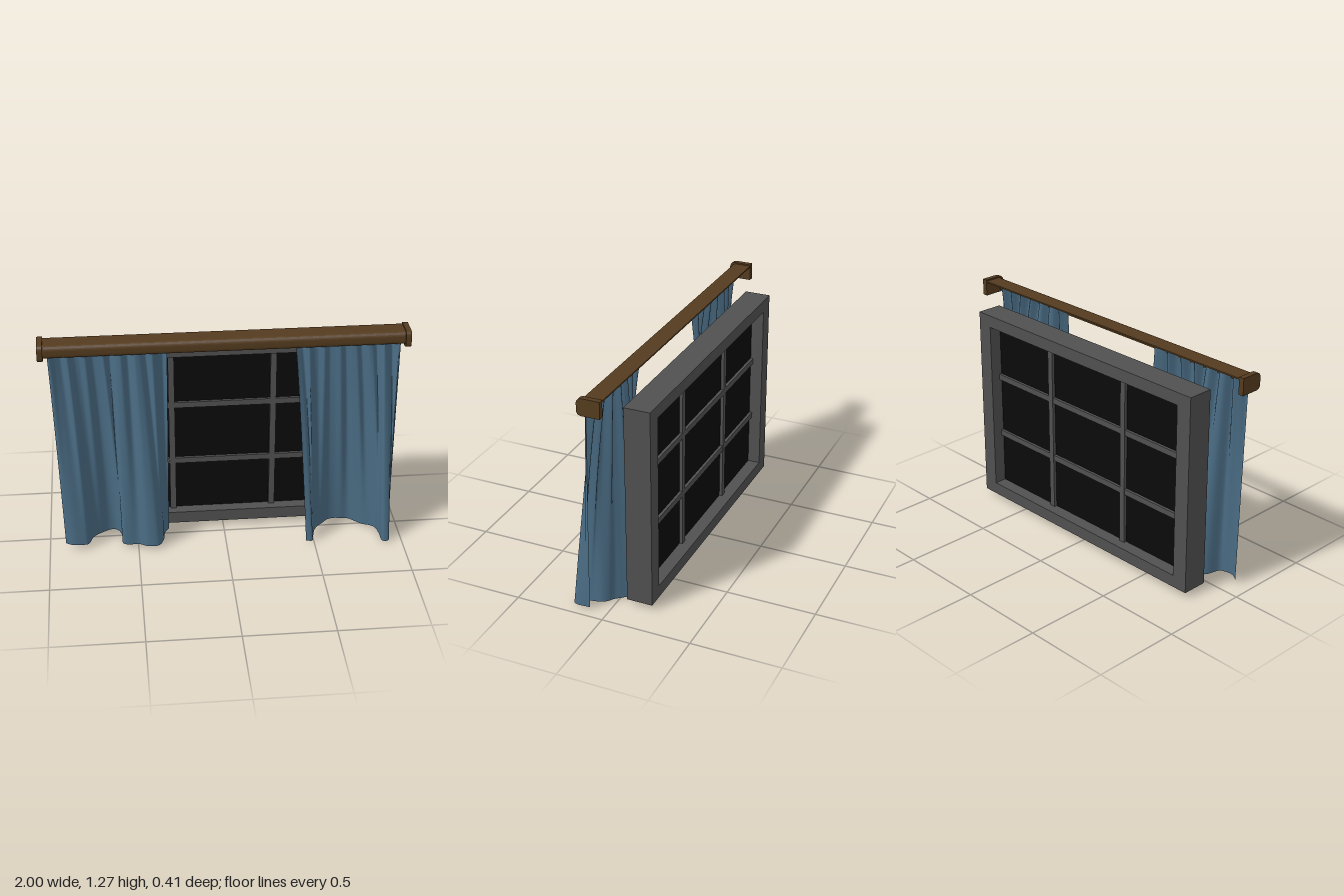
import * as THREE from 'three';

const mat = (name, color, side = THREE.FrontSide) => {
  const m = new THREE.MeshStandardMaterial({ color, side });
  m.name = name;
  return m;
};

// Cross-section in (-z, y), open or solid, swept along x from x0 to x1
function sweep(shape, x0, x1) {
  const g = new THREE.ExtrudeGeometry(shape, { depth: x1 - x0, bevelEnabled: false, curveSegments: 8 });
  g.rotateY(Math.PI / 2);
  g.translate(x0, 0, 0);
  return g;
}

export function createModel() {
  const group = new THREE.Group();
  const wood = mat('brown wood', 0x543b1e);
  const grey = mat('grey frame', 0x505050);
  const black = mat('dark glass', 0x0a0a0a);
  const cloth = mat('blue cloth', 0x4a6c84, THREE.DoubleSide);

  const add = (name, geometry, material) => {
    const m = new THREE.Mesh(geometry, material);
    m.name = name;
    group.add(m);
    return m;
  };
  const box = (name, w, h, d, x, y, z, material) =>
    add(name, new THREE.BoxGeometry(w, h, d), material).position.set(x, y, z);

  // Window frame, glass and bars
  const frame = new THREE.Shape();
  const rect = (path, x, y0, y1) => {
    path.moveTo(-x, y0);
    path.lineTo(x, y0);
    path.lineTo(x, y1);
    path.lineTo(-x, y1);
    path.closePath();
  };
  rect(frame, 0.818, 0.04, 1.178);
  const opening = new THREE.Path();
  rect(opening, 0.728, 0.11, 1.108);
  frame.holes.push(opening);
  const frameGeo = new THREE.ExtrudeGeometry(frame, { depth: 0.146, bevelEnabled: false });
  frameGeo.translate(0, 0, -0.204);
  add('windowFrame', frameGeo, grey);
  box('glass', 1.456, 0.998, 0.008, 0, 0.609, -0.128, black);
  for (const x of [-0.285, 0.285]) box('verticalBar', 0.034, 0.998, 0.044, x, 0.609, -0.128, grey);
  for (const y of [0.427, 0.785]) box('horizontalBar', 1.456, 0.034, 0.04, 0, y, -0.128, grey);

  // Cornice: hollow channel, open at the back and below
  const t = 0.008;
  const channel = new THREE.Shape();
  channel.moveTo(0.02, 1.275);
  channel.lineTo(-0.062, 1.275);
  channel.quadraticCurveTo(-0.096, 1.275, -0.096, 1.242);
  channel.lineTo(-0.096, 1.228);
  channel.quadraticCurveTo(-0.096, 1.206, -0.078, 1.204);
  channel.lineTo(-0.078, 1.204 + t);
  channel.quadraticCurveTo(-0.096 + t, 1.214, -0.096 + t, 1.228);
  channel.lineTo(-0.096 + t, 1.242);
  channel.quadraticCurveTo(-0.096 + t, 1.275 - t, -0.062, 1.275 - t);
  channel.lineTo(0.02, 1.275 - t);
  channel.closePath();
  add('cornice', sweep(channel, -0.975, 0.975), wood);

  // Cornice end caps
  const cap = new THREE.Shape();
  cap.moveTo(0.022, 1.283);
  cap.lineTo(-0.072, 1.283);
  cap.quadraticCurveTo(-0.106, 1.283, -0.106, 1.25);
  cap.lineTo(-0.106, 1.216);
  cap.quadraticCurveTo(-0.106, 1.188, -0.078, 1.188);
  cap.lineTo(0.022, 1.188);
  cap.closePath();
  add('rightEndCap', sweep(cap, -1, -0.97), wood);
  add('leftEndCap', sweep(cap, 0.97, 1), wood);

  // Curtains: small gathers at the top spread into the wide folds of the hem
  const curtain = (name, x0, x1, y0, y1, hem, phase) => {
    const curve = new THREE.CatmullRomCurve3(hem.map(([x, z]) => new THREE.Vector3(x, 0, z)));
    const geo = new THREE.PlaneGeometry(1, 1, 120, 40);
    const pos = geo.attributes.position;
    const uv = geo.attributes.uv;
    const top = 1.24;
    for (let i = 0; i < pos.count; i++) {
      const u = uv.getX(i);
      const d = 1 - uv.getY(i);
      const p = curve.getPointAt(u);
      const k = Math.pow(d, 0.85);
      const gather = 0.022 * Math.sin(u * 44 + phase) + 0.006 * Math.sin(u * 81 + phase * 2);
      const low = y0 + (y1 - y0) * u + 0.004 * Math.sin(u * 17 + phase);
      const x = THREE.MathUtils.lerp(x0 + (x1 - x0) * u, p.x, k);
      const z = THREE.MathUtils.lerp(0.062, p.z, k) + gather * (1 - 0.85 * k);
      pos.setXYZ(i, x, top + (low - top) * d, z);
    }
    geo.computeVertexNormals();
    add(name, geo, cloth);
  };

  curtain('rightCurtain', -0.95, -0.312, 0.034, 0.024, [
    [-0.91, 0.09], [-0.86, 0.12], [-0.79, 0.11], [-0.75, 0.03], [-0.69, -0.02],
    [-0.62, -0.025], [-0.59, 0.03], [-0.585, 0.11], [-0.51, 0.12], [-0.44, 0.152],
    [-0.38, 0.15], [-0.355, 0.09], [-0.345, 0.02], [-0.318, -0.035],
  ], 0.6);
  curtain('leftCurtain', 0.375, 0.948, 0.012, 0.018, [
    [0.455, 0.16], [0.49, 0.165], [0.5, 0.12], [0.525, 0.04], [0.58, -0.02],
    [0.64, -0.053], [0.72, -0.053], [0.78, -0.01], [0.82, 0.03], [0.865, 0.06],
    [0.882, 0.13], [0.89, 0.198], [0.925, 0.2], [0.937, 0.1],
  ], 2.1);

  return group;
}
